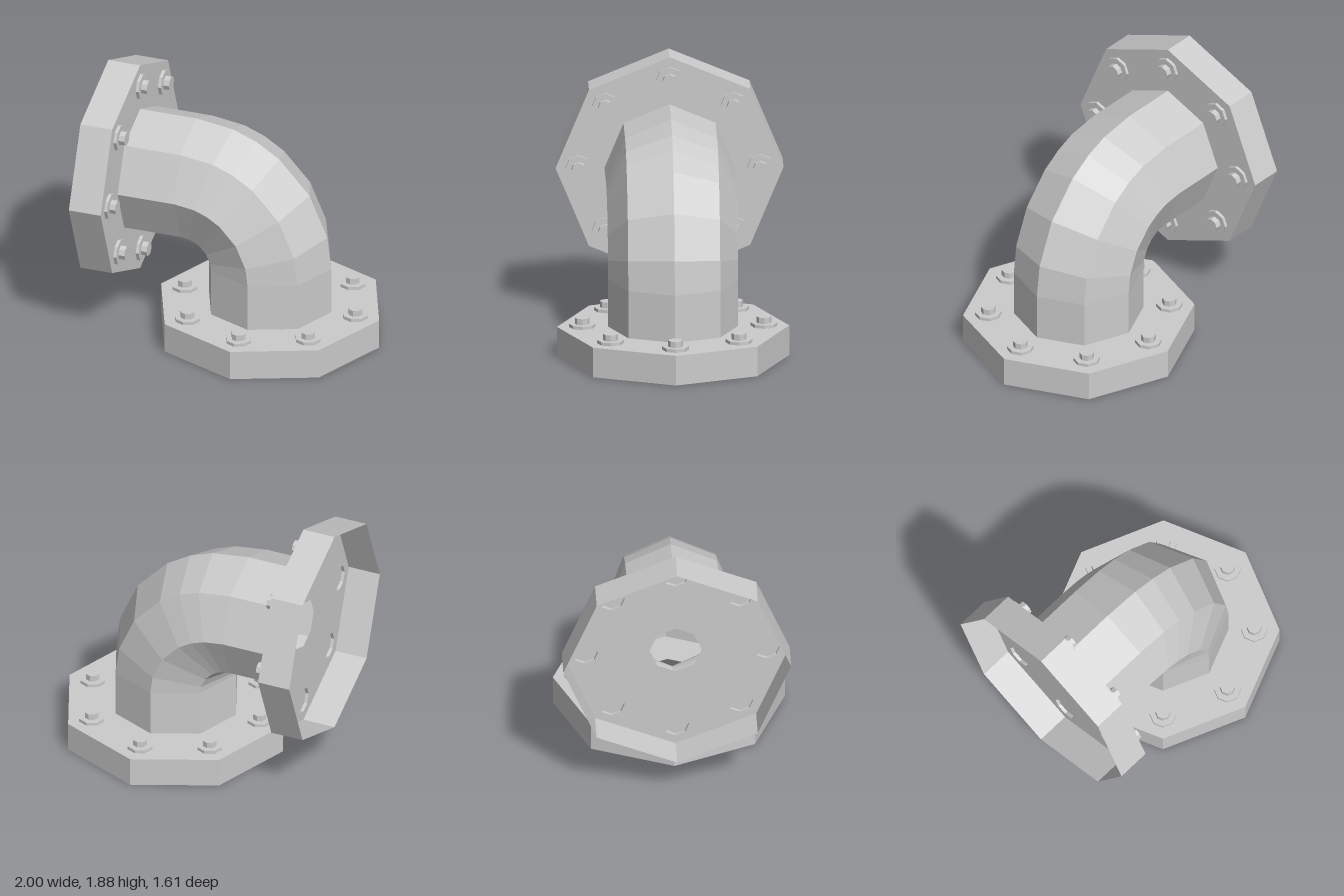
import * as THREE from 'three';

const SIDES = 8, PIPE_R = 0.451, BORE_R = 0.18, WASHER_R = 0.0925;
const AXIS_X = 0.195, AXIS_Y = 1.094, BEND_R = 0.545;
const BASE_T = 0.212, SIDE_T = 0.235;

const material = new THREE.MeshStandardMaterial({
  color: 0xcccccc, flatShading: true, side: THREE.DoubleSide,
});

function part(name, geometry, parent) {
  const mesh = new THREE.Mesh(geometry, material);
  mesh.name = name;
  parent.add(mesh);
  return mesh;
}

// Corners of an octagon with its points on the axes
function octagon(r, cx = 0, cy = 0) {
  return Array.from({ length: SIDES }, (_, i) => {
    const a = (i / SIDES) * Math.PI * 2;
    return new THREE.Vector2(cx + r * Math.cos(a), cy + r * Math.sin(a));
  });
}

// Open octagonal pipe: straight run, 90 degree bend, straight drop
function elbowGeometry() {
  const cx = AXIS_X - BEND_R, cy = AXIS_Y - BEND_R;
  const stations = [0, 15.8, 26.3, 37.9, 57, 76.2, 90].map((deg) => {
    const t = THREE.MathUtils.degToRad(deg);
    return [cx + BEND_R * Math.sin(t), cy + BEND_R * Math.cos(t), t];
  });
  stations.unshift([-1 + SIDE_T, AXIS_Y, 0]);
  stations.push([AXIS_X, BASE_T, Math.PI / 2]);

  const positions = [], index = [];
  for (const [x, y, t] of stations) {
    for (const p of octagon(PIPE_R)) {
      positions.push(x + p.x * Math.sin(t), y + p.x * Math.cos(t), p.y);
    }
  }
  for (let i = 0; i < stations.length - 1; i++) {
    for (let j = 0; j < SIDES; j++) {
      const a = i * SIDES + j, b = i * SIDES + (j + 1) % SIDES;
      index.push(a, b, b + SIDES, a, b + SIDES, a + SIDES);
    }
  }
  const indexed = new THREE.BufferGeometry();
  indexed.setAttribute('position', new THREE.Float32BufferAttribute(positions, 3));
  indexed.setIndex(index);
  const geometry = indexed.toNonIndexed();
  geometry.computeVertexNormals();
  return geometry;
}

// Octagonal cap, open underneath
function capGeometry(r, h) {
  const profile = [[r, 0], [r, h], [0, h]].map(([x, y]) => new THREE.Vector2(x, y));
  return new THREE.LatheGeometry(profile, SIDES);
}

// Thin octagonal tray, open at y = 0, its plate on top with a ring of bolts
function createFlange(name, radius, thickness) {
  const flange = new THREE.Group();
  flange.name = name;

  const rim = new THREE.CylinderGeometry(radius, radius, thickness, SIDES, 1, true);
  part('rim', rim.translate(0, thickness / 2, 0), flange);

  const boltSpots = octagon(0.63);
  const shape = new THREE.Shape(octagon(radius));
  shape.holes.push(new THREE.Path(octagon(BORE_R)));
  for (const p of boltSpots) shape.holes.push(new THREE.Path(octagon(WASHER_R, p.x, p.y)));
  const plate = new THREE.ShapeGeometry(shape);
  part('plate', plate.rotateX(-Math.PI / 2).translate(0, thickness, 0), flange);

  for (const p of boltSpots) {
    const bolt = new THREE.Group();
    bolt.name = 'bolt';
    bolt.position.set(p.x, thickness, p.y);
    part('washer', capGeometry(WASHER_R, 0.023), bolt);
    part('nut', capGeometry(0.051, 0.043), bolt).position.y = 0.023;
    flange.add(bolt);
  }
  return flange;
}

export function createModel() {
  const model = new THREE.Group();
  model.name = 'pipeElbow';

  part('elbowPipe', elbowGeometry(), model);

  const base = createFlange('baseFlange', 0.805, BASE_T);
  base.position.x = AXIS_X;
  model.add(base);

  const side = createFlange('sideFlange', 0.79, SIDE_T);
  side.rotation.z = -Math.PI / 2;
  side.position.set(-1, AXIS_Y, 0);
  model.add(side);

  return model;
}
